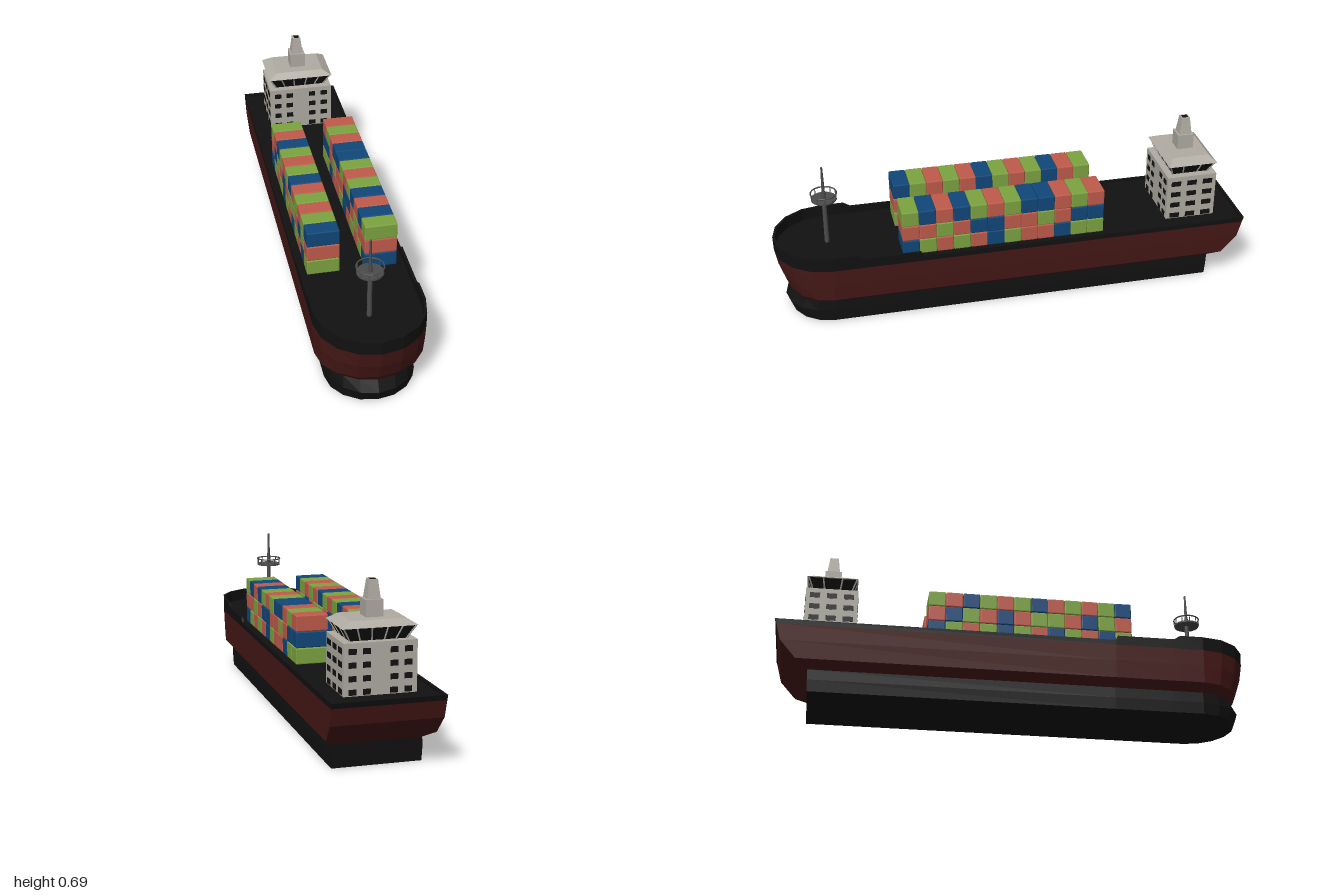
import * as THREE from 'three';
import { RoundedBoxGeometry } from 'three/addons/geometries/RoundedBoxGeometry.js';

const mat = (color) => new THREE.MeshStandardMaterial({ color, flatShading: true });
const black = mat(0x111111), maroon = mat(0x451816), wall = mat(0xb0aca3), steel = mat(0x4c4c4c);
const paint = { G: mat(0x7ca340), R: mat(0xbf5b4b), B: mat(0x10477a) };

function add(parent, name, geometry, material, x = 0, y = 0, z = 0) {
  const mesh = new THREE.Mesh(geometry, material);
  mesh.name = name;
  mesh.position.set(x, y, z);
  parent.add(mesh);
  return mesh;
}

// Hull outline: flat stern, straight sides, rounded bow. y is a height or a rule of z.
const BOW_START = 0.775;
function outline(y, half, stern, bow) {
  const side = [stern, 0.4, 0.41, 0.65, 0.68].map((z) => [half, z]);
  const points = [...side];
  for (let i = 0; i <= 8; i++) {
    const a = (i / 8) * Math.PI;
    points.push([half * Math.cos(a), BOW_START + (bow - BOW_START) * Math.sin(a)]);
  }
  side.reverse().forEach(([x, z]) => points.push([-x, z]));
  return points.map(([x, z]) => [x, typeof y === 'number' ? y : y(z), z]);
}

// Skin through a list of closed outlines
function loft(rings) {
  const pos = [], n = rings[0].length;
  for (let r = 0; r + 1 < rings.length; r++) {
    for (let i = 0; i < n; i++) {
      const j = (i + 1) % n;
      const a = rings[r][i], b = rings[r][j], c = rings[r + 1][j], d = rings[r + 1][i];
      pos.push(...a, ...d, ...c, ...a, ...c, ...b);
    }
  }
  const geometry = new THREE.BufferGeometry();
  geometry.setAttribute('position', new THREE.Float32BufferAttribute(pos, 3));
  geometry.computeVertexNormals();
  return geometry;
}

// Box standing on y = 0 with different half sizes at bottom and top
function taperedBox(x0, z0, x1, z1, h) {
  const geometry = new THREE.BoxGeometry(2, h, 2).translate(0, h / 2, 0);
  const p = geometry.attributes.position;
  for (let i = 0; i < p.count; i++) {
    const top = p.getY(i) > h / 2;
    p.setX(i, p.getX(i) * (top ? x1 : x0));
    p.setZ(i, p.getZ(i) * (top ? z1 : z0));
  }
  geometry.computeVertexNormals();
  return geometry;
}

function strut(parent, name, from, to, radius, material) {
  const a = new THREE.Vector3(...from), b = new THREE.Vector3(...to);
  const mesh = add(parent, name, new THREE.CylinderGeometry(radius, radius, a.distanceTo(b), 6), material);
  mesh.position.copy(a).lerp(b, 0.5);
  mesh.quaternion.setFromUnitVectors(new THREE.Vector3(0, 1, 0), b.sub(a).normalize());
}

function buildHull() {
  const hull = new THREE.Group();
  hull.name = 'hull';
  add(hull, 'lowerHull', loft([
    outline(0, 0, -0.855, 0.945), outline(0, 0.178, -0.855, 0.945),
    outline(0.05, 0.18, -0.858, 0.965), outline(0.095, 0.178, -0.86, 0.938),
  ]), black);
  add(hull, 'upperHull', loft([
    outline(0.095, 0.178, -0.86, 0.938), outline(0.125, 0.216, -0.91, 0.958),
    outline(0.2, 0.22, -0.975, 0.985), outline(0.27, 0.222, -0.993, 0.998),
  ]), maroon);
  // Bulwark steps up towards the bow, with the deck inside it
  const rim = (z) => (z > 0.67 ? 0.33 : z > 0.405 ? 0.312 : 0.292);
  add(hull, 'bulwarkAndDeck', loft([
    outline(0.27, 0.222, -0.993, 0.998), outline(rim, 0.222, -1, 1),
    outline(rim, 0.212, -0.99, 0.99), outline(0.28, 0.212, -0.99, 0.99),
    outline(0.28, 0, -0.99, 0.99),
  ]), black);
  return hull;
}

function buildCargo() {
  const cargo = new THREE.Group();
  cargo.name = 'cargo';
  // Colours from bow to stern, bottom tier first
  const stacks = [
    { x: 0.114, tiers: ['BGRGRBGRRBGG', 'RRGRBBRRGRBB', 'GBRBGRGBBRGR'] },
    { x: -0.121, tiers: ['GBRGBRGBGRGB', 'RGBRGGRBRGBR', 'BGRGRBGRGBRG'] },
  ];
  const pitch = 0.0717;
  const box = new RoundedBoxGeometry(0.133, 0.066, 0.0705, 1, 0.004);
  for (const { x, tiers } of stacks) {
    tiers.forEach((row, t) => [...row].forEach((c, i) =>
      add(cargo, 'container', box, paint[c], x, 0.313 + t * 0.067, 0.48 - pitch * (i + 0.5))));
  }
  return cargo;
}

function buildBridge() {
  const house = new THREE.Group();
  house.name = 'deckhouse';
  house.position.z = -0.78;
  const hx = 0.143, hz = 0.108;
  add(house, 'accommodationBlock', new THREE.BoxGeometry(hx * 2, 0.2, hz * 2), wall, 0, 0.38, 0);

  // Cabin windows on all four walls
  const frontPane = new THREE.BoxGeometry(0.03, 0.022, 0.004);
  const sidePane = new THREE.BoxGeometry(0.004, 0.022, 0.042);
  for (const y of [0.295, 0.346, 0.397, 0.448]) {
    for (const s of [-1, 1]) {
      for (const x of [-0.108, -0.053, 0.053, 0.108]) add(house, 'window', frontPane, black, x, y, s * hz);
      for (const z of [-0.07, 0, 0.07]) add(house, 'window', sidePane, black, s * hx, y, z);
    }
  }

  // Outward leaning bridge glass with posts
  const bx = 0.11, bz = 0.077, tx = 0.14, tz = 0.1, y0 = 0.48, y1 = 0.533;
  add(house, 'bridgeGlass', taperedBox(bx, bz, tx, tz, y1 - y0), black, 0, y0, 0);
  const post = (u, v) => strut(house, 'bridgePost', [u * bx, y0, v * bz], [u * tx, y1, v * tz], 0.0035, wall);
  for (const s of [-1, 1]) {
    for (const u of [-1, -0.63, -0.22, 0.22, 0.63, 1]) post(u, s);
    for (const v of [-0.4, 0.4]) post(s, v);
  }
  add(house, 'bridgeRoof', taperedBox(0.147, 0.106, 0.107, 0.08, 0.024), wall, 0, 0.532, 0);

  // Funnel with a dark square opening
  add(house, 'funnelBase', new THREE.BoxGeometry(0.068, 0.068, 0.07), wall, 0, 0.587, 0);
  add(house, 'funnel', taperedBox(0.026, 0.027, 0.017, 0.018, 0.074), wall, 0, 0.62, 0);
  add(house, 'funnelOpening', new THREE.BoxGeometry(0.022, 0.002, 0.024), black, 0, 0.694, 0);
  return house;
}

function buildMast() {
  const mast = new THREE.Group();
  mast.name = 'foremast';
  mast.position.z = 0.775;
  add(mast, 'lowerMast', new THREE.CylinderGeometry(0.009, 0.01, 0.24, 10), steel, 0, 0.4, 0);
  add(mast, 'upperMast', new THREE.CylinderGeometry(0.004, 0.007, 0.115, 10), steel, 0, 0.5775, 0);
  add(mast, 'lookoutFloor', new THREE.CylinderGeometry(0.053, 0.053, 0.007, 20), steel, 0, 0.488, 0);
  const rail = new THREE.TorusGeometry(0.054, 0.003, 6, 20).rotateX(Math.PI / 2);
  add(mast, 'lookoutRail', rail, steel, 0, 0.515, 0);
  for (let i = 0; i < 10; i++) {
    const a = (i / 10) * Math.PI * 2, x = 0.053 * Math.cos(a), z = 0.053 * Math.sin(a);
    strut(mast, 'railPost', [x, 0.488, z], [x, 0.515, z], 0.002, steel);
  }
  return mast;
}

export function createModel() {
  const ship = new THREE.Group();
  ship.name = 'containerShip';
  ship.add(buildHull(), buildCargo(), buildBridge(), buildMast());
  return ship;
}
